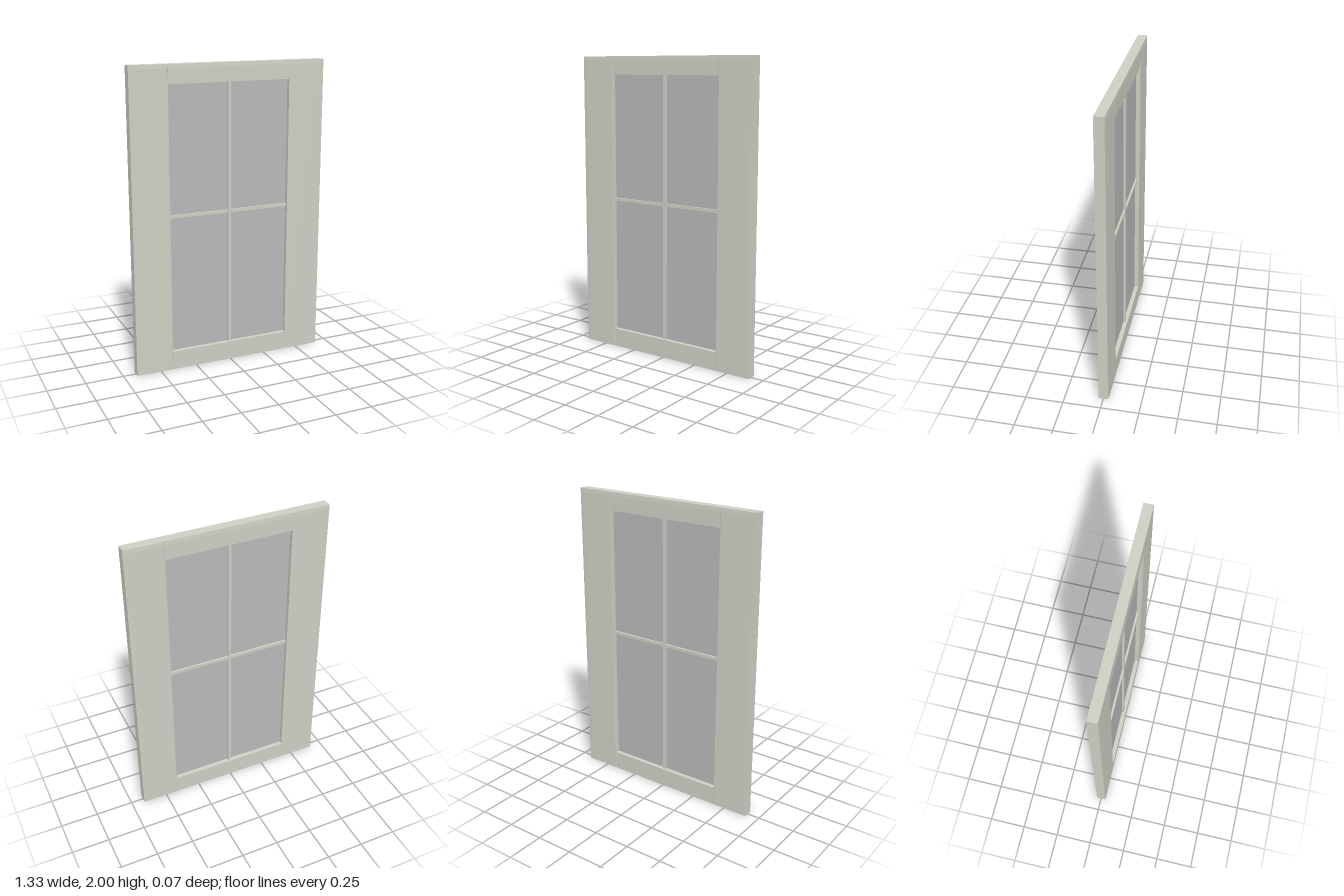
import * as THREE from 'three';

const W = 0.665, H = 2, D = 0.033;       // half width, height, half depth
const OPEN_X = 0.415, OPEN_LOW = 0.125, OPEN_HIGH = 1.88;
const RIM = 0.025, EASE = 0.005, DROP = 0.002;

// Board with shallow eased edges on both faces; a zero ease leaves that edge square.
function board(name, x0, x1, y0, y1, ease, material) {
  const { left = 0, right = 0, top = 0 } = ease;
  const geo = new THREE.BoxGeometry(3, 3, 2, 3, 3, 1);
  const xs = [x0, x0 + (left || EASE), x1 - (right || EASE), x1];
  const ys = [y0, y0 + EASE, y1 - (top || EASE), y1];
  const p = geo.attributes.position;
  for (let i = 0; i < p.count; i++) {
    const c = Math.round(p.getX(i) + 1.5), r = Math.round(p.getY(i) + 1.5);
    const low = (c === 0 && left) || (c === 3 && right) || (r === 3 && top);
    p.setXYZ(i, xs[c], ys[r], Math.sign(p.getZ(i)) * (low ? D - DROP : D));
  }
  const flat = geo.toNonIndexed();
  flat.computeVertexNormals();
  const mesh = new THREE.Mesh(flat, material);
  mesh.name = name;
  return mesh;
}

function bar(name, w, h, d, x, y, material) {
  const mesh = new THREE.Mesh(new THREE.BoxGeometry(w, h, d), material);
  mesh.position.set(x, y, 0);
  mesh.name = name;
  return mesh;
}

export function createModel() {
  const door = new THREE.Group();
  door.name = 'glazedDoor';
  const paint = new THREE.MeshStandardMaterial({ color: 0xcfcec4 });
  const glass = new THREE.MeshStandardMaterial({ color: 0xb8b8b8 });

  // Wide side stiles
  door.add(
    board('leftStile', OPEN_X, W, 0, H, { left: EASE, right: RIM, top: RIM }, paint),
    board('rightStile', -W, -OPEN_X, 0, H, { left: RIM, right: EASE, top: RIM }, paint)
  );

  // Rails between the stiles
  door.add(
    board('topRail', -OPEN_X, OPEN_X, OPEN_HIGH, H, { top: RIM }, paint),
    board('bottomRail', -OPEN_X, OPEN_X, 0, OPEN_LOW, {}, paint)
  );

  // Recessed glass and the crossing glazing bars
  const openH = OPEN_HIGH - OPEN_LOW, midY = (OPEN_HIGH + OPEN_LOW) / 2;
  door.add(
    bar('glassPane', 2 * OPEN_X, openH, 0.008, 0, midY, glass),
    bar('verticalGlazingBar', 0.02, openH, 0.036, 0, midY, paint),
    bar('horizontalGlazingBar', 2 * OPEN_X, 0.02, 0.034, 0, 1.04, paint)
  );
  return door;
}
